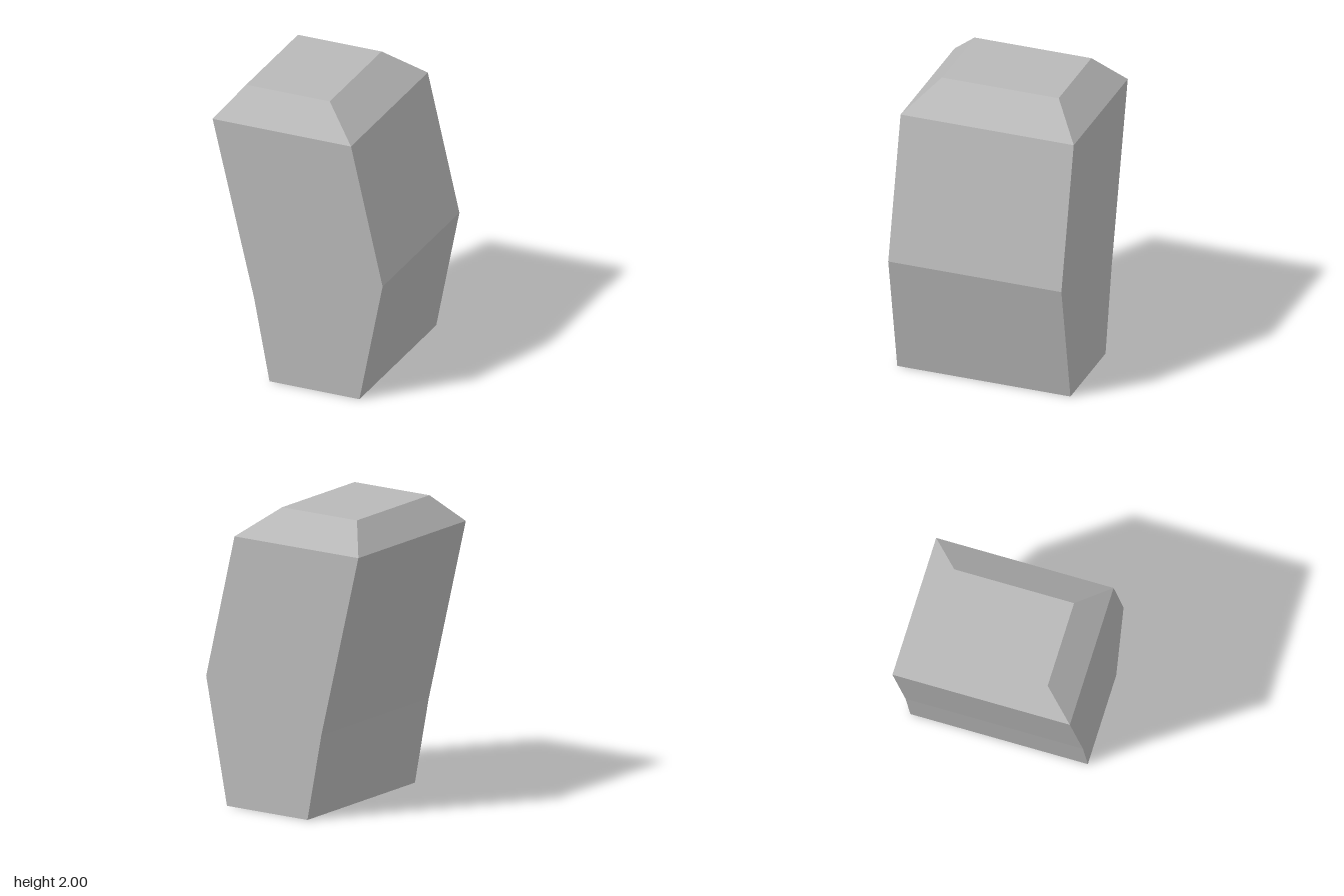
import * as THREE from 'three';

// Cross-sections from the base up: height, right edge x, left edge x, half depth
const SECTIONS = [
  [0, -0.2, 0.44, 0.6],
  [0.58, -0.31, 0.553, 0.6],
  [0.845, -0.374, 0.605, 0.6],
  [1.81, -0.605, 0.38, 0.6],
  [2, -0.455, 0.14, 0.405],
];

export function createModel() {
  const model = new THREE.Group();
  const grey = new THREE.MeshStandardMaterial({ color: 0xb8b8b8 });
  grey.name = 'grey';

  // Leaning block with a bevelled top: a segmented box fitted to the sections
  const steps = SECTIONS.length - 1;
  const box = new THREE.BoxGeometry(2, steps, 2, 1, steps, 1);
  const pos = box.attributes.position;
  for (let i = 0; i < pos.count; i++) {
    const [y, x0, x1, depth] = SECTIONS[Math.round(pos.getY(i) + steps / 2)];
    pos.setXYZ(i, pos.getX(i) < 0 ? x0 : x1, y, Math.sign(pos.getZ(i)) * depth);
  }
  const faceted = box.toNonIndexed();
  faceted.computeVertexNormals();

  const block = new THREE.Mesh(faceted, grey);
  block.name = 'bevelledBlock';
  model.add(block);
  return model;
}
